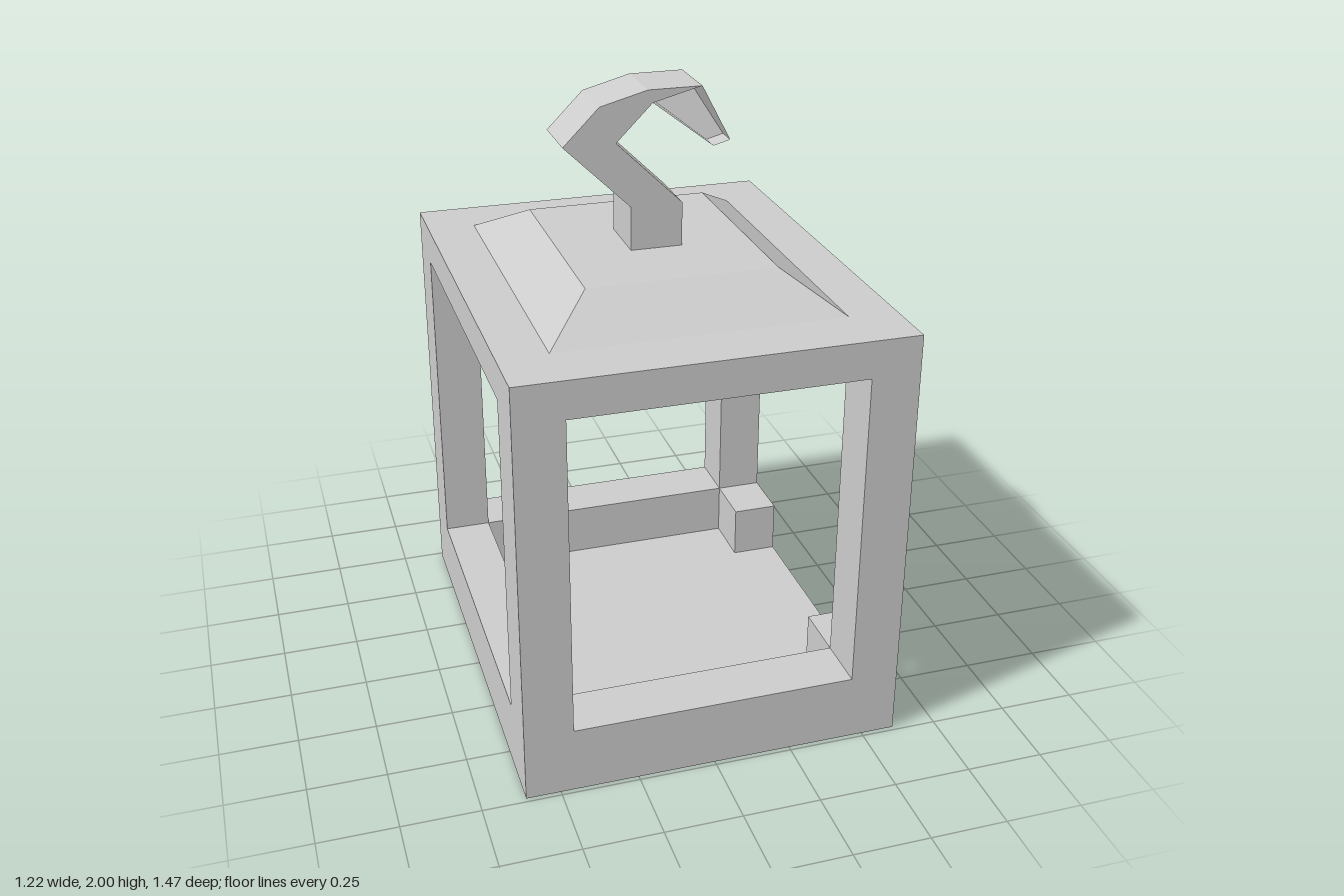
import * as THREE from 'three';

const material = new THREE.MeshStandardMaterial({ color: 0xcccccc, flatShading: true });

function addMesh(parent, name, geometry, x = 0, y = 0, z = 0) {
  const mesh = new THREE.Mesh(geometry, material);
  mesh.name = name;
  mesh.position.set(x, y, z);
  parent.add(mesh);
  return mesh;
}

// Box given by its minimum and maximum corners
function addBox(parent, name, [x0, y0, z0], [x1, y1, z1]) {
  const geometry = new THREE.BoxGeometry(x1 - x0, y1 - y0, z1 - z0);
  return addMesh(parent, name, geometry, (x0 + x1) / 2, (y0 + y1) / 2, (z0 + z1) / 2);
}

// Closed solid between two four-cornered loops, counter-clockwise seen from the end loop
function loftQuads(start, end) {
  const corners = [...start, ...end];
  const index = [0, 2, 1, 0, 3, 2, 4, 5, 6, 4, 6, 7];
  for (let i = 0; i < 4; i++) {
    const j = (i + 1) % 4;
    index.push(i, j, j + 4, i, j + 4, i + 4);
  }
  const geometry = new THREE.BufferGeometry();
  geometry.setAttribute('position', new THREE.Float32BufferAttribute(corners.flat(), 3));
  geometry.setIndex(index);
  const flat = geometry.toNonIndexed();
  flat.computeVertexNormals();
  return flat;
}

const toPoints = (pairs) => pairs.map(([x, y]) => new THREE.Vector2(x, y));
const rectangle = (x, y0, y1) => toPoints([[-x, y0], [x, y0], [x, y1], [-x, y1]]);

export function createModel() {
  const model = new THREE.Group();
  model.name = 'lantern';

  const W = 0.61, D = 0.735, H = 1.395;       // outer half width, half depth, height
  const w = 0.455, d = 0.555;                 // inner half width and half depth
  const floorY = 0.04, sillY = 0.22, ceilingY = 1.275;
  const notch = 0.365;                        // half width of the gap in the left sill

  // Front and back frames, including the corner posts
  const frame = new THREE.Shape(rectangle(W, 0, H));
  frame.holes.push(new THREE.Path(rectangle(w, sillY, ceilingY)));
  const frameGeometry = new THREE.ExtrudeGeometry(frame, { depth: D - d, bevelEnabled: false });
  addMesh(model, 'frontFrame', frameGeometry, 0, 0, d);
  addMesh(model, 'backFrame', frameGeometry, 0, 0, -D);

  // Floor and ceiling between the frames
  addBox(model, 'floor', [-W, 0, -d], [W, floorY, d]);
  addBox(model, 'ceiling', [-W, ceilingY, -d], [W, H, d]);

  // Side sills: full on the right, open in the middle on the left
  addBox(model, 'rightSill', [-W, floorY, -d], [-w, sillY, d]);
  addBox(model, 'leftSillFront', [w, floorY, notch], [W, sillY, d]);
  addBox(model, 'leftSillBack', [w, floorY, -d], [W, sillY, -notch]);

  // Sloped roof cap
  const level = (x, y, z) => [[-x, y, z], [x, y, z], [x, y, -z], [-x, y, -z]];
  addMesh(model, 'roof', loftQuads(level(w, H, 0.55), level(0.3, 1.5, 0.362)));

  // Hook: extruded bent bar with a tapered tip
  const hook = new THREE.Group();
  hook.name = 'hook';
  model.add(hook);
  const t = 0.1;
  const inner = [-0.015, 1.96], outer = [0.14, 2];
  const bar = new THREE.Shape(toPoints([
    [-0.085, 1.49], [0.08, 1.49], [0.08, 1.64], [-0.13, 1.845], inner,
    outer, [-0.03, 2], [-0.18, 1.96], [-0.295, 1.845], [-0.085, 1.64],
  ]));
  addMesh(hook, 'hookBar', new THREE.ExtrudeGeometry(bar, { depth: 2 * t, bevelEnabled: false }), 0, 0, -t);

  const section = (a, b, z) => [[...a, -z], [...a, z], [...b, z], [...b, -z]];
  addMesh(hook, 'hookTip', loftQuads(section(inner, outer, t), section([0.2, 1.79], [0.255, 1.805], 0.035)));

  return model;
}
